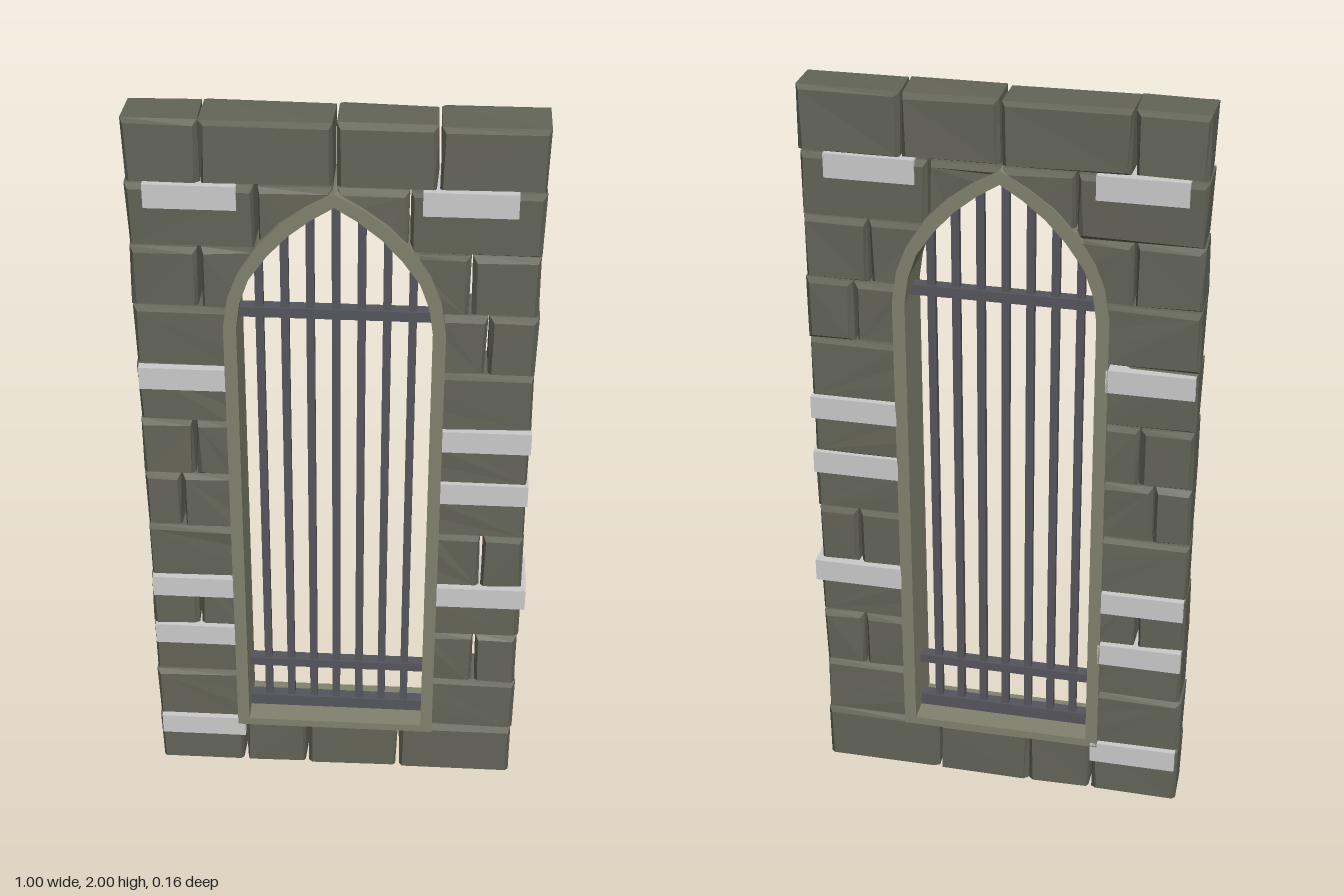
import * as THREE from 'three';

const stone = new THREE.MeshStandardMaterial({ color: 0x646558, flatShading: true });
const trim = new THREE.MeshStandardMaterial({ color: 0x82826f, flatShading: true });
const iron = new THREE.MeshStandardMaterial({ color: 0x55555d, flatShading: true });
const grey = new THREE.MeshStandardMaterial({ color: 0xcccccc, flatShading: true });

const CX = -0.006, LEFT = -0.5, RIGHT = 0.488, ROW = 1 / 6;
const BACK = -0.077, FRONT = 0.068;

// Half profile of the pointed arch: [distance from centre line, height]
const outer = [[0.27, 1.46], [0.257, 1.545], [0.232, 1.61], [0.185, 1.685], [0.13, 1.745], [0.07, 1.79], [0, 1.83]];
const inner = [[0.238, 1.46], [0.228, 1.53], [0.205, 1.595], [0.16, 1.66], [0.11, 1.715], [0.055, 1.76], [0, 1.795]];
const middle = outer.map(([x, y], i) => [(x + inner[i][0]) / 2, (y + inner[i][1]) / 2]);

// Arch height at a distance from the centre line
function archHeight(profile, d) {
  for (let i = 1; i < profile.length; i++) {
    const [xa, ya] = profile[i - 1], [xb, yb] = profile[i];
    if (d >= xb) return THREE.MathUtils.lerp(yb, ya, Math.min(1, (d - xb) / (xa - xb)));
  }
  return profile.at(-1)[1];
}

// Half width of the opening at a height
function archWidth(profile, y) {
  for (let i = 1; i < profile.length; i++) {
    const [xa, ya] = profile[i - 1], [xb, yb] = profile[i];
    if (y <= yb) return THREE.MathUtils.lerp(xa, xb, Math.max(0, (y - ya) / (yb - ya)));
  }
  return 0;
}

// Closed outline of the opening, counter-clockwise from the lower right
function archPoints(profile, bottom) {
  const w = profile[0][0];
  return [
    [w, bottom], ...profile,
    ...profile.slice(0, -1).reverse().map(([x, y]) => [-x, y]), [-w, bottom],
  ].map(([x, y]) => new THREE.Vector2(CX + x, y));
}

// Repeatable noise from a position and seed, 0..1
function noise(x, y, z, seed) {
  const n = Math.sin(Math.round(x * 1e4) * 12.9898 + Math.round(y * 1e4) * 78.233 + Math.round(z * 1e4) * 37.719 + seed * 4.137) * 43758.5453;
  return n - Math.floor(n);
}

// Rough-hewn bevelled stone; corners are chipped towards its middle
function stoneBlock(points, seed) {
  const shape = new THREE.Shape(points.map(([x, y]) => new THREE.Vector2(x, y)));
  const bevel = 0.018;
  const geo = new THREE.ExtrudeGeometry(shape, {
    depth: FRONT - BACK - 2 * bevel, bevelThickness: bevel, bevelSize: 0.009, bevelOffset: -0.009, bevelSegments: 1,
  });
  geo.translate(0, 0, BACK + bevel);
  geo.computeBoundingBox();
  const c = geo.boundingBox.getCenter(new THREE.Vector3());
  const p = geo.attributes.position;
  for (let i = 0; i < p.count; i++) {
    const x = p.getX(i), y = p.getY(i), z = p.getZ(i);
    p.setXYZ(i,
      x - Math.sign(x - c.x) * 0.007 * noise(x, y, z, seed),
      y - Math.sign(y - c.y) * 0.005 * noise(x, y, z, seed + 1),
      z - Math.sign(z) * 0.006 * noise(x, y, z, seed + 2));
  }
  geo.computeVertexNormals();
  const mesh = new THREE.Mesh(geo, stone);
  mesh.name = 'stoneBlock';
  return mesh;
}

function box(name, mat, x0, x1, y0, y1, z0, z1) {
  const mesh = new THREE.Mesh(new THREE.BoxGeometry(x1 - x0, y1 - y0, z1 - z0), mat);
  mesh.position.set((x0 + x1) / 2, (y0 + y1) / 2, (z0 + z1) / 2);
  mesh.name = name;
  return mesh;
}

const rect = (x0, x1, y0, y1) => [[x0, y0], [x1, y0], [x1, y1], [x0, y1]];

// Stone that ends on the side of the opening (side -1: at -x, +1: at +x)
function jambOutline(xFar, y0, y1, side) {
  const edge = [0, 1, 2, 3].map((i) => {
    const y = THREE.MathUtils.lerp(y0, y1, i / 3);
    return [CX + side * archWidth(middle, y), y];
  });
  const pts = [...edge, [xFar, y1], [xFar, y0]];
  return side < 0 ? pts : pts.reverse();
}

// Stone above the arch, with its underside following the curve
function archStoneOutline(x0, x1, y1) {
  const under = [0, 1, 2, 3, 4].map((i) => {
    const x = THREE.MathUtils.lerp(x0, x1, i / 4);
    return [x, archHeight(middle, Math.abs(x - CX))];
  });
  return [...under, [x1, y1], [x0, y1]];
}

function buildWall() {
  const wall = new THREE.Group();
  wall.name = 'stoneWall';
  let seed = 1;
  const add = (pts) => wall.add(stoneBlock(pts, (seed += 3)));
  const course = (xs, y0, y1) => xs.slice(1).forEach((x, i) => add(rect(xs[i], x, y0, y1)));

  // Full courses at the top and bottom
  course([LEFT, -0.32, CX, 0.235, RIGHT], 2 - ROW, 2);
  course([LEFT, -0.26, -0.085, 0.17, RIGHT], 0, ROW);

  // Course over the arch
  const y1 = 2 - ROW, y0 = 2 - 2 * ROW;
  add(rect(LEFT, -0.19, y0, y1));
  add(rect(0.17, RIGHT, y0, y1));
  add(archStoneOutline(-0.19, CX, y1));
  add(archStoneOutline(CX, 0.17, y1));

  // Courses beside the opening: joint position on each side, or null
  const joints = [
    [-0.33, 0.32], [null, 0.365], [null, null], [-0.36, null], [-0.4, null],
    [null, 0.375], [-0.37, null], [null, 0.37], [null, null],
  ];
  joints.forEach((pair, i) => {
    const top = 2 - (i + 2) * ROW, bottom = top - ROW;
    pair.forEach((joint, k) => {
      const end = k ? RIGHT : LEFT;
      if (joint !== null) add(rect(Math.min(end, joint), Math.max(end, joint), bottom, top));
      add(jambOutline(joint ?? end, bottom, top, k ? 1 : -1));
    });
  });
  return wall;
}

export function createModel() {
  const model = new THREE.Group();
  model.name = 'barredWindow';
  model.add(buildWall());

  // Pale slabs through the wall: x start, x end, top
  const slabs = [
    [-0.455, -0.235, 1.838], [0.2, 0.423, 1.838], [-0.492, -0.27, 1.33], [0.262, 0.487, 1.17],
    [0.262, 0.487, 1.008], [0.262, 0.498, 0.668], [-0.492, -0.27, 0.668], [-0.492, -0.27, 0.503], [-0.49, -0.257, 0.17],
  ];
  for (const [x0, x1, top] of slabs) model.add(box('paleSlab', grey, x0, x1, top - 0.062, top, -0.079, 0.07));

  // Arched frame lining the opening
  const shape = new THREE.Shape(archPoints(outer, 0.157));
  shape.holes.push(new THREE.Path(archPoints(inner, 0.18)));
  const frameGeo = new THREE.ExtrudeGeometry(shape, { depth: 0.156, bevelEnabled: false });
  frameGeo.translate(0, 0, -0.079);
  const frame = new THREE.Mesh(frameGeo, trim);
  frame.name = 'archFrame';
  model.add(frame);

  // Iron grille
  const grille = new THREE.Group();
  grille.name = 'grille';
  for (let i = -3; i <= 3; i++) {
    const x = CX + i * 0.0625;
    const top = archHeight(inner, Math.abs(i) * 0.0625) + 0.01;
    grille.add(box('verticalBar', iron, x - 0.01, x + 0.01, 0.175, top, -0.01, 0.01));
  }
  for (const [y0, y1] of [[1.455, 1.482], [0.325, 0.35], [0.18, 0.215]]) {
    grille.add(box('crossBar', iron, CX - 0.24, CX + 0.24, y0, y1, -0.016, 0.016));
  }
  model.add(grille);
  return model;
}
